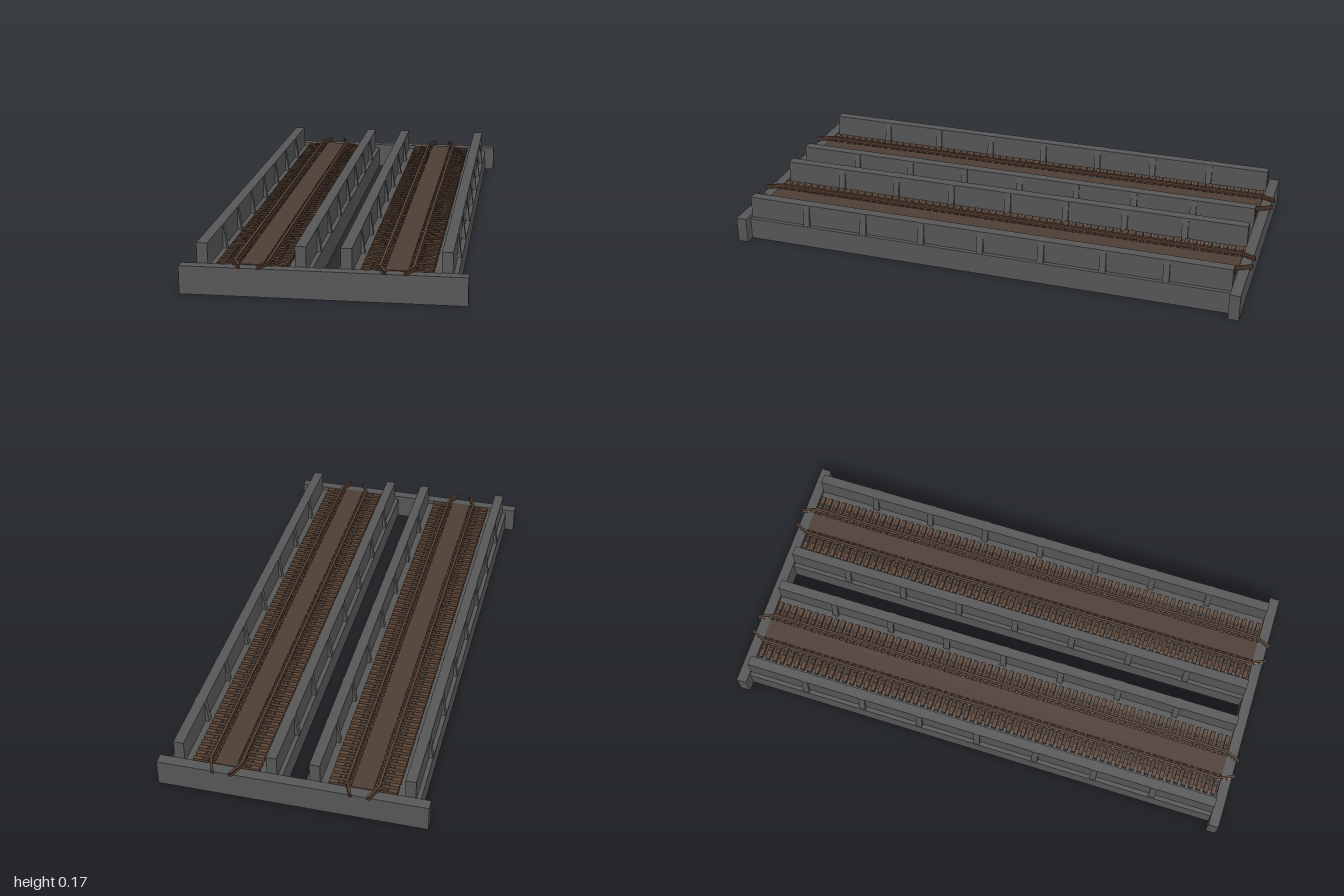
import * as THREE from 'three';

const paint = (name, color) => {
  const m = new THREE.MeshStandardMaterial({ color });
  m.name = name;
  return m;
};
const concrete = paint('grey concrete', 0x585858);
const timber = paint('sleeper brown', 0x5e4636);
const decking = paint('deck brown', 0x4f3e36);
const rust = paint('rail rust', 0x5a4030);
const iron = paint('dark iron', 0x383330);

const TRACK_X = 0.248;   // track centre line
const HALF = 0.95;       // half length of the spans
const GIRDER = 0.17;     // girder offset from the track centre

function add(parent, name, geometry, material, x = 0, y = 0, z = 0) {
  const mesh = new THREE.Mesh(geometry, material);
  mesh.name = name;
  mesh.position.set(x, y, z);
  parent.add(mesh);
  return mesh;
}

// box given by its centre x, z and its bottom and top heights
function slab(parent, name, material, x, z, w, d, y0, y1) {
  return add(parent, name, new THREE.BoxGeometry(w, y1 - y0, d), material, x, (y0 + y1) / 2, z);
}

// extrude a closed outline along z, starting at z = 0
function prism(points, length) {
  const shape = new THREE.Shape(points.map(([x, y]) => new THREE.Vector2(x, y)));
  return new THREE.ExtrudeGeometry(shape, { depth: length, bevelEnabled: false });
}

// rail with a broad foot, narrow web and broad head
const RAIL = [
  [-0.006, 0], [0.006, 0], [0.006, 0.003], [0.002, 0.005], [0.002, 0.01], [0.005, 0.011], [0.005, 0.015],
  [-0.005, 0.015], [-0.005, 0.011], [-0.002, 0.01], [-0.002, 0.005], [-0.006, 0.003],
];

// thin side wall, ledge, parapet and tapered stiffeners on one side of a track
function girder(side) {
  const g = new THREE.Group();
  g.name = 'girder';
  slab(g, 'sideWall', concrete, side * 0.2025, 0, 0.005, HALF * 2, 0, 0.085);
  slab(g, 'ledge', concrete, side * 0.1525, 0, 0.095, HALF * 2, 0.078, 0.085);
  slab(g, 'parapet', concrete, side * GIRDER, 0, 0.038, HALF * 2, 0.085, 0.172);
  const rib = prism([[-0.033, 0.085], [0.033, 0.085], [0.0205, 0.172], [-0.0205, 0.172]], 0.024);
  for (let i = -3; i <= 3; i++) add(g, 'stiffener', rib, concrete, side * GIRDER, 0, i * 0.237 - 0.012);
  return g;
}

function track() {
  const g = new THREE.Group();
  g.name = 'track';
  slab(g, 'floor', decking, 0, 0, 0.21, HALF * 2, 0.078, 0.087);
  slab(g, 'centreDeck', decking, 0, 0, 0.078, HALF * 2, 0.087, 0.103);

  // closely spaced sleepers with low rail chairs
  const count = 64, pitch = (HALF * 2) / count;
  const sleeper = new THREE.BoxGeometry(0.245, 0.028, pitch * 0.56);
  const chair = new THREE.BoxGeometry(0.01, 0.003, pitch * 0.4);
  for (let i = 0; i < count; i++) {
    const z = -HALF + (i + 0.5) * pitch;
    add(g, 'sleeper', sleeper, timber, 0, 0.0875, z);
    for (const s of [-1, 1]) {
      for (const x of [0.045, 0.07, 0.086]) add(g, 'railChair', chair, iron, s * x, 0.1015, z);
    }
  }

  // rails whose ends bend inward over the end beams
  const straightHalf = 0.94, bend = 1 - straightHalf;
  const straight = prism(RAIL, straightHalf * 2);
  for (const s of [-1, 1]) {
    add(g, 'rail', straight, rust, s * 0.057, 0.1005, -straightHalf);
    for (const end of [-1, 1]) {
      const bent = prism(RAIL, bend);
      if (end < 0) bent.translate(0, 0, -bend);
      const p = bent.attributes.position;
      for (let i = 0; i < p.count; i++) p.setX(i, p.getX(i) - s * 0.43 * Math.abs(p.getZ(i)));
      bent.computeVertexNormals();
      add(g, 'railEnd', bent, rust, s * 0.057, 0.1005, end * straightHalf);
    }
  }
  return g;
}

export function createModel() {
  const model = new THREE.Group();
  model.name = 'doubleTrackBridge';

  // two parallel spans
  for (const side of [-1, 1]) {
    const span = new THREE.Group();
    span.name = side > 0 ? 'leftSpan' : 'rightSpan';
    span.position.x = side * TRACK_X;
    span.add(girder(-1), girder(1), track());
    model.add(span);
  }

  // hollow cross beams, open below, closing both ends
  for (const end of [-1, 1]) {
    const beam = new THREE.Group();
    beam.name = 'endBeam';
    slab(beam, 'outerWall', concrete, 0, end * 0.9875, 0.983, 0.005, 0, 0.1);
    slab(beam, 'innerWall', concrete, 0, end * 0.9525, 0.983, 0.005, 0, 0.1);
    slab(beam, 'beamTop', concrete, 0, end * 0.97, 0.983, 0.03, 0.095, 0.1);
    for (const s of [-1, 1]) slab(beam, 'beamEnd', concrete, s * 0.489, end * 0.97, 0.005, 0.03, 0, 0.095);
    model.add(beam);
  }
  return model;
}
